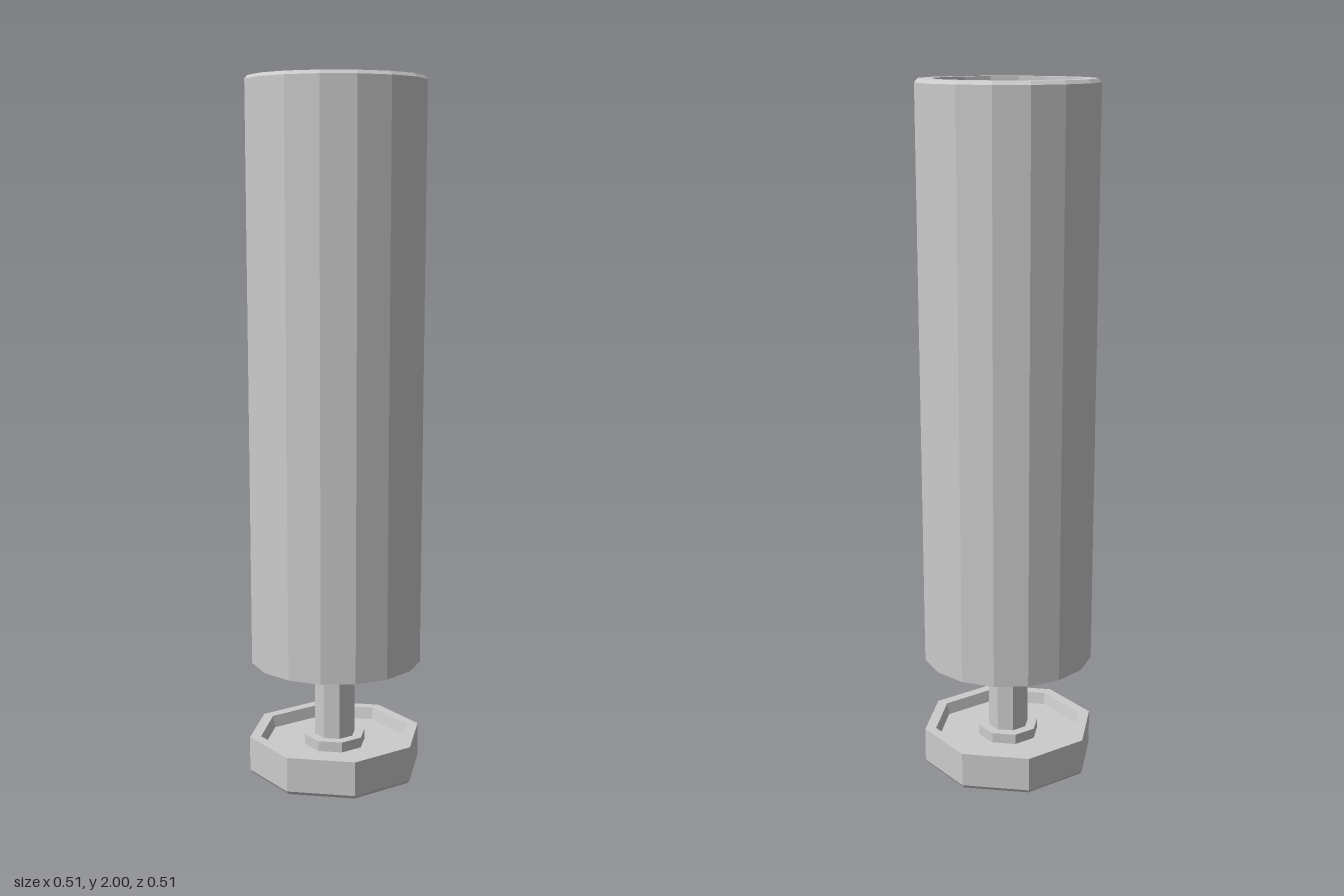
import * as THREE from 'three';

const material = new THREE.MeshStandardMaterial({ color: 0xcccccc, flatShading: true });

// Faceted revolved part; the profile runs up the outside, then inward
function turned(name, sides, profile) {
  const points = profile.map(([r, y]) => new THREE.Vector2(r, y));
  const mesh = new THREE.Mesh(new THREE.LatheGeometry(points, sides), material);
  mesh.name = name;
  return mesh;
}

export function createModel() {
  const group = new THREE.Group();
  group.name = 'rollerOnStand';

  // Open-ended, slightly tapered tube with a chamfered top edge
  const sleeve = turned('sleeve', 16, [
    [0.198, 0.335], [0.249, 0.335], [0.255, 1.99], [0.246, 2],
    [0.204, 2], [0.196, 0.335], [0.198, 0.335],
  ]);
  sleeve.position.z = -0.004;
  group.add(sleeve);

  // Central rod with a chamfered tip
  group.add(turned('rod', 8, [
    [0, 0.04], [0.06, 0.04], [0.06, 1.98], [0.05, 1.99], [0, 1.99],
  ]));

  // Octagonal base: shallow dish above, hollow below
  group.add(turned('base', 8, [
    [0, 0.065], [0.215, 0.065], [0.238, 0], [0.248, 0], [0.255, 0.01],
    [0.255, 0.11], [0.222, 0.11], [0.215, 0.075], [0, 0.075],
  ]));

  // Collars holding the rod above and below the base plate
  for (const [name, low, high] of [['upperCollar', 0.075, 0.105], ['lowerCollar', 0.05, 0.065]]) {
    group.add(turned(name, 8, [[0, low], [0.09, low], [0.09, high], [0, high]]));
  }
  return group;
}
